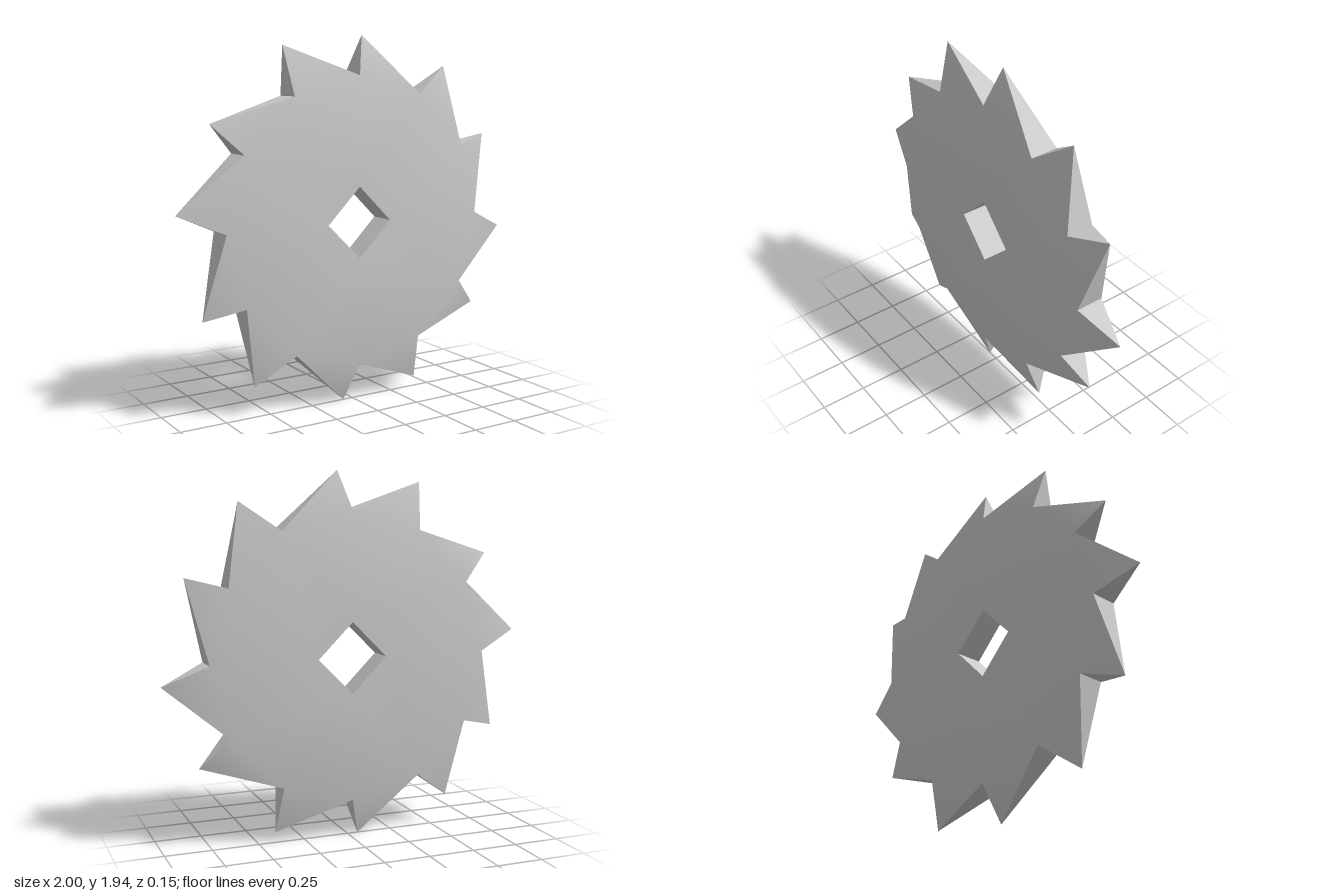
import * as THREE from 'three';
import { toCreasedNormals } from 'three/addons/utils/BufferGeometryUtils.js';

const TEETH = 12, ROOT = 0.765, HOLE = 0.19, HALF = 0.075, CENTRE_Y = 0.975;

// point at radius r and angle in degrees
const polar = (r, deg, z) => {
  const a = THREE.MathUtils.degToRad(deg);
  return [r * Math.cos(a), r * Math.sin(a), z];
};
const root = (i, z) => polar(ROOT, (i % TEETH) * 30, z);
const corner = (k, z) => polar(HOLE, (k % 4) * 90, z);
// teeth alternate between a shorter and a longer form, all leaning the same way
const tip = (i) => (i % 2 ? polar(1.003, i * 30 + 24.1, 0) : polar(0.973, i * 30 + 26.6, 0));

function makeMesh(name, triangles) {
  const geometry = new THREE.BufferGeometry();
  geometry.setAttribute('position', new THREE.Float32BufferAttribute(triangles.flat(2), 3));
  const mesh = new THREE.Mesh(
    toCreasedNormals(geometry, 0.52),
    new THREE.MeshStandardMaterial({ color: 0xcccccc })
  );
  mesh.name = name;
  return mesh;
}

export function createModel() {
  const tris = [];
  // adds a front triangle and its mirrored twin on the back
  const bothFaces = (make) => {
    const [a, b, c] = make(HALF);
    const [d, e, f] = make(-HALF);
    tris.push([a, b, c], [d, f, e]);
  };

  for (let i = 0; i < TEETH; i++) {
    // flat disc between the square hole and the tooth roots
    const k = Math.round(i / 3), next = Math.round((i + 1) / 3);
    bothFaces((z) => [corner(k, z), root(i, z), root(i + 1, z)]);
    if (next !== k) bothFaces((z) => [corner(k, z), root(i + 1, z), corner(next, z)]);

    // pyramid tooth: sloping faces and its two flanks
    bothFaces((z) => [root(i, z), tip(i), root(i + 1, z)]);
    tris.push([root(i, HALF), root(i, -HALF), tip(i)]);
    tris.push([root(i + 1, -HALF), root(i + 1, HALF), tip(i)]);
  }

  // inner walls of the square arbor hole
  for (let k = 0; k < 4; k++) {
    const a = corner(k, HALF), b = corner(k + 1, HALF);
    const c = corner(k + 1, -HALF), d = corner(k, -HALF);
    tris.push([a, b, c], [a, c, d]);
  }

  const group = new THREE.Group();
  group.name = 'sawBlade';
  const blade = makeMesh('toothedBlade', tris);
  blade.position.y = CENTRE_Y;
  group.add(blade);
  return group;
}
